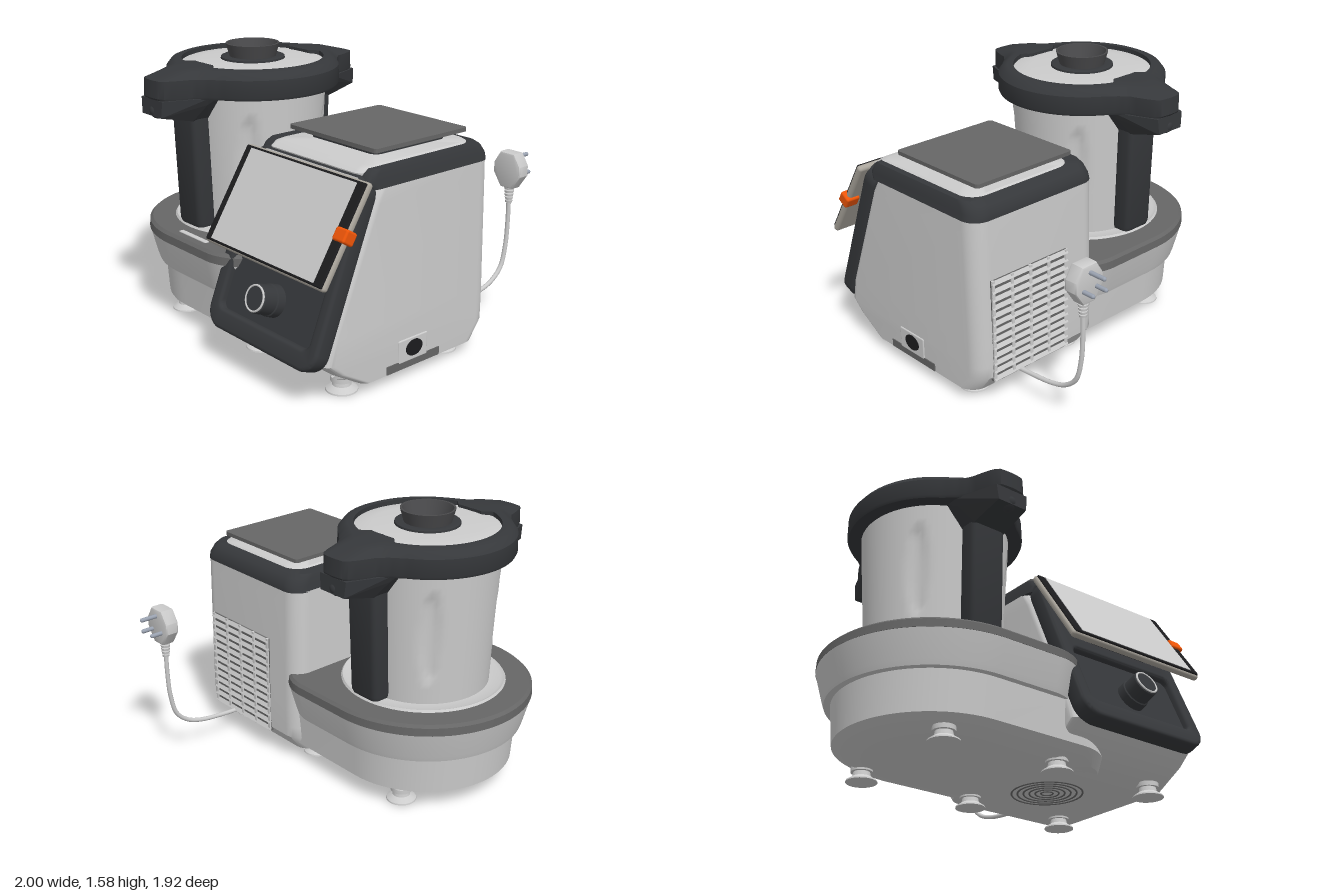
import * as THREE from 'three';
import { toCreasedNormals } from 'three/addons/utils/BufferGeometryUtils.js';
import { RoundedBoxGeometry } from 'three/addons/geometries/RoundedBoxGeometry.js';
import { ConvexGeometry } from 'three/addons/geometries/ConvexGeometry.js';

const mat = (color, side = THREE.FrontSide) => new THREE.MeshStandardMaterial({ color, side });
const GREY = mat(0xcccccc), GREY2 = mat(0xcccccc, THREE.DoubleSide);
const DARK = mat(0x36383b), DARK2 = mat(0x36383b, THREE.DoubleSide);
const MID = mat(0x666666), BLACK = mat(0x1c1c1e), BEZEL = mat(0xaaa59c), ORANGE = mat(0xee5508);
const CX = -0.38, CZ = 0.225; // bowl axis

function add(parent, name, geo, material, x = 0, y = 0, z = 0) {
  const m = new THREE.Mesh(geo, material);
  m.name = name;
  m.position.set(x, y, z);
  parent.add(m);
  return m;
}

// Rounded rectangle at height y; radii: back right, back left, front left, front right
function rect(y, x0, x1, z0, z1, radii, n = 10) {
  const [a, b, c, d] = radii, pts = [];
  const corners = [[x1 - a, z0 + a, a], [x0 + b, z0 + b, b], [x0 + c, z1 - c, c], [x1 - d, z1 - d, d]];
  corners.forEach(([cx, cz, r], k) => {
    for (let i = 0; i <= n; i++) {
      const t = (k + i / n) * Math.PI / 2;
      pts.push([cx + r * Math.cos(t), y, cz - r * Math.sin(t)]);
    }
  });
  return pts;
}

// Skin over stacked rings, closed at both ends
function loft(rings, crease = 0.6) {
  const pos = [], n = rings[0].length;
  const mid = r => [0, 1, 2].map(k => r.reduce((s, p) => s + p[k], 0) / n);
  const first = rings[0], last = rings[rings.length - 1], c0 = mid(first), c1 = mid(last);
  for (let j = 0; j < n; j++) {
    const k = (j + 1) % n;
    pos.push(...c0, ...first[k], ...first[j], ...c1, ...last[j], ...last[k]);
    for (let i = 0; i + 1 < rings.length; i++) {
      const a = rings[i], b = rings[i + 1];
      pos.push(...a[j], ...a[k], ...b[k], ...a[j], ...b[k], ...b[j]);
    }
  }
  const g = new THREE.BufferGeometry();
  g.setAttribute('position', new THREE.Float32BufferAttribute(pos, 3));
  return toCreasedNormals(g, crease);
}

const lathe = (pts, seg = 64) =>
  toCreasedNormals(new THREE.LatheGeometry(pts.map(p => new THREE.Vector2(...p)), seg), 0.6);

function roundedShape(x0, x1, y0, y1, r) {
  const s = new THREE.Shape();
  [[x1 - r, y1 - r], [x0 + r, y1 - r], [x0 + r, y0 + r], [x1 - r, y0 + r]].forEach(([x, y], k) =>
    s.absarc(x, y, r, k * Math.PI / 2, (k + 1) * Math.PI / 2, false));
  return s;
}

// Base under the bowl, with feet and floor vent
function buildBase(g) {
  const tier = (y, r, xe, rc) => rect(y, CX - r, xe, CZ - r, CZ + r, [rc, r, r, rc], 20);
  add(g, 'lowerBase', loft([tier(0.065, 0.42, 0.5, 0.2), tier(0.12, 0.52, 0.5, 0.3), tier(0.35, 0.535, 0.4, 0.3)]), GREY);
  add(g, 'upperBase', loft([tier(0.34, 0.57, 0.22, 0.25), tier(0.37, 0.58, 0.22, 0.25), tier(0.52, 0.618, 0.25, 0.27)]), GREY);
  add(g, 'baseRim', loft([tier(0.52, 0.62, 0.25, 0.27), tier(0.565, 0.617, 0.25, 0.27), tier(0.58, 0.6, 0.24, 0.26)]), MID);
  add(g, 'bowlSeat', lathe([[0.36, 0.582], [0.44, 0.582], [0.46, 0.592], [0.47, 0.578]]), GREY2, CX, 0, CZ);
  add(g, 'indicatorStrip', new RoundedBoxGeometry(0.25, 0.012, 0.03, 2, 0.005), GREY, -0.23, 0.58, 0.77);
  const foot = lathe([[0, 0], [0.085, 0], [0.083, 0.008], [0.05, 0.03], [0.045, 0.055], [0.06, 0.055], [0.06, 0.08]], 28);
  for (const x of [-0.58, 0.14, 0.8]) for (const z of [0.6, -0.13]) add(g, 'foot', foot, GREY2, x, 0, z);
  for (let i = 1; i <= 6; i++) {
    const ring = add(g, 'floorVentRing', new THREE.TorusGeometry(i * 0.033, 0.006, 6, 40), MID, 0.44, 0.066, 0.18);
    ring.rotation.x = Math.PI / 2;
  }
}

// Housing beside the bowl
function buildBody(g) {
  const R = [0.1, 0.1, 0.05, 0.05];
  const sec = ([y, zf, zb]) => rect(y, 0.07, 0.94, zb, zf, R);
  add(g, 'housing', loft([[0.065, 0.58, -0.27], [0.165, 0.75, -0.345], [0.23, 0.82, -0.347],
    [0.36, 0.79, -0.347], [1.0, 0.53, -0.335], [1.08, 0.48, -0.333]].map(sec)), GREY);
  add(g, 'topCollar', loft([[1.075, 0.53, -0.338], [1.11, 0.55, -0.336], [1.15, 0.53, -0.31], [1.17, 0.5, -0.28]]
    .map(([y, zf, zb], i) => rect(y, 0.07 + i * 0.008, 0.942 - i * 0.008, zb, zf, R))), DARK);
  add(g, 'topInset', loft([rect(1.1, 0.17, 0.88, -0.25, 0.55, R), rect(1.15, 0.17, 0.88, -0.25, 0.56, R),
    rect(1.17, 0.17, 0.88, -0.25, 0.53, R), rect(1.178, 0.18, 0.87, -0.24, 0.49, R)]), GREY);
  add(g, 'scaleNeck', loft([1.17, 1.222].map(y => rect(y, 0.25, 0.76, -0.17, 0.345, [0.05, 0.05, 0.05, 0.05]))), DARK);
  add(g, 'scalePlate', loft([1.216, 1.238].map(y => rect(y, 0.17, 0.835, -0.245, 0.415, [0.02, 0.02, 0.02, 0.02]))), MID);

  // Sloping front: dark frame, recessed panel and knob
  const front = new THREE.Group();
  front.name = 'frontPanel';
  front.position.set(0, 0.27, 0.91);
  front.rotation.x = -0.378;
  g.add(front);
  const frame = roundedShape(0.07, 0.94, -0.05, 0.95, 0.11);
  frame.holes.push(roundedShape(0.15, 0.865, 0.06, 0.43, 0.04));
  const frameGeo = new THREE.ExtrudeGeometry(frame, { depth: 0.06, bevelThickness: 0.02, bevelSize: 0.02, bevelOffset: -0.02, bevelSegments: 3, curveSegments: 10 });
  add(front, 'frontFrame', toCreasedNormals(frameGeo, 0.6), DARK, 0, 0, -0.08);
  add(front, 'controlPanel', new THREE.BoxGeometry(0.74, 0.4, 0.05), DARK, 0.507, 0.245, -0.065);
  add(front, 'upperFrontPanel', new THREE.BoxGeometry(0.7, 0.42, 0.05), GREY, 0.525, 0.72, -0.02);
  const knob = new THREE.Group();
  knob.name = 'knob';
  knob.position.set(0.508, 0.205, -0.045);
  knob.rotation.x = Math.PI / 2;
  front.add(knob);
  add(knob, 'knobBody', lathe([[0.086, 0], [0.084, 0.05], [0.078, 0.055], [0.076, 0.13], [0.066, 0.14], [0, 0.14]], 40), DARK2);
  const trim = add(knob, 'knobTrim', new THREE.TorusGeometry(0.066, 0.006, 8, 40), GREY, 0, 0.138, 0);
  trim.rotation.x = Math.PI / 2;

  // Rear louvres
  add(g, 'ventBacking', new THREE.BoxGeometry(0.54, 0.6, 0.02), MID, 0.58, 0.44, -0.338);
  for (let i = 0; i < 13; i++) {
    const slat = add(g, 'ventSlat', new THREE.BoxGeometry(0.54, 0.026, 0.012), GREY, 0.58, 0.155 + i * 0.0475, -0.35);
    slat.rotation.x = 0.5;
  }
  for (let i = 0; i < 5; i++) add(g, 'ventBar', new THREE.BoxGeometry(0.018, 0.6, 0.014), GREY, 0.32 + i * 0.13, 0.44, -0.349);

  // Side socket
  add(g, 'socketTab', new RoundedBoxGeometry(0.02, 0.13, 0.21, 2, 0.008), GREY, 0.936, 0.165, 0.235);
  add(g, 'socketLedge', new THREE.BoxGeometry(0.03, 0.045, 0.38), MID, 0.93, 0.09, 0.23);
  const socket = add(g, 'socket', new THREE.CylinderGeometry(0.045, 0.045, 0.02, 28), BLACK, 0.94, 0.17, 0.23);
  socket.rotation.z = Math.PI / 2;
  socket.scale.z = 1.3;
}

// Tilted display with its clip
function buildDisplay(g) {
  const d = new THREE.Group();
  d.name = 'display';
  d.position.set(0.51, 0.907, 0.742);
  d.rotation.x = -0.563;
  g.add(d);
  add(d, 'displayBack', new RoundedBoxGeometry(0.94, 0.56, 0.04, 3, 0.018), BEZEL, 0, 0, -0.024);
  add(d, 'displayBezel', new RoundedBoxGeometry(0.92, 0.54, 0.02, 3, 0.008), BLACK, 0, 0, -0.006);
  add(d, 'screen', new THREE.BoxGeometry(0.815, 0.515, 0.01), GREY, -0.005, 0, 0.002);
  add(d, 'displayMount', new THREE.BoxGeometry(0.4, 0.3, 0.12), DARK, 0, 0.02, -0.09);
  add(d, 'clip', new RoundedBoxGeometry(0.085, 0.07, 0.075, 3, 0.012), ORANGE, 0.445, 0, -0.02);
}

// Steel bowl with four lens-shaped dents, lid and two handles
function buildBowl(g) {
  const bowl = new THREE.Group();
  bowl.name = 'bowl';
  bowl.position.set(CX, 0, CZ);
  g.add(bowl);
  const wall = new THREE.CylinderGeometry(0.412, 0.372, 0.8, 96, 24, true);
  const p = wall.attributes.position;
  for (let i = 0; i < p.count; i++) {
    const x = p.getX(i), z = p.getZ(i), h = p.getY(i) / 0.26;
    const across = (Math.abs(Math.atan2(Math.abs(x), Math.abs(z)) - 0.85)) / (0.16 * Math.sqrt(Math.max(0.001, 1 - h * h)));
    const dent = Math.abs(h) < 1 && across < 1 ? 1 - 0.05 * (1 - across * across) : 1;
    p.setX(i, x * dent);
    p.setZ(i, z * dent);
  }
  wall.computeVertexNormals();
  add(bowl, 'bowlWall', wall, GREY2, 0, 0.97, 0);

  // Lid ring: radius follows the angle away from the front-back axis
  const table = (deg, t) => {
    for (let i = 1; i < t.length; i++) if (deg <= t[i][0]) {
      const [a, ra] = t[i - 1], [b, rb] = t[i];
      return ra + (rb - ra) * (deg - a) / (b - a);
    }
    return t[t.length - 1][1];
  };
  const outer = d => table(d, [[0, 0.688], [6, 0.685], [8.5, 0.665], [11, 0.62], [16, 0.54], [22, 0.507], [31, 0.488], [90, 0.49]]);
  const inner = d => table(d, [[0, 0.335], [15, 0.345], [19, 0.4], [90, 0.4]]);
  const ring = (y, f) => Array.from({ length: 180 }, (_, i) => {
    const t = i * Math.PI / 90, s = Math.abs(Math.cos(t)), d = Math.acos(Math.min(1, Math.abs(Math.sin(t)))) * 180 / Math.PI;
    const r = f(d, s);
    return [r * Math.cos(t), y, -r * Math.sin(t)];
  });
  add(bowl, 'lidRing', loft([ring(1.345, d => outer(d) * 0.985), ring(1.36, outer), ring(1.455, d => outer(d) * 0.995),
    ring(1.49, d => 0.46 + 0.45 * (outer(d) - 0.49)), ring(1.5, d => 0.435 + 0.25 * (outer(d) - 0.49)),
    ring(1.5, inner), ring(1.465, inner)]), DARK);
  add(bowl, 'lidTop', lathe([[0.41, 1.47], [0.39, 1.478], [0.3, 1.488], [0.12, 1.49]]), GREY2);
  add(bowl, 'fillerRim', lathe([[0.182, 1.485], [0.18, 1.5], [0.168, 1.505], [0.13, 1.502]]), DARK2);
  add(bowl, 'fillerFunnel', lathe([[0, 1.495], [0.115, 1.495], [0.14, 1.575], [0.152, 1.575], [0.128, 1.49]]), MID).material = mat(0x4a4a4c, THREE.DoubleSide);

  const half = [[0.1, 1.35, 0.68], [0.09, 1.26, 0.685], [0.19, 1.35, 0.44], [0.17, 1.31, 0.44], [0.1, 1.215, 0.49], [0.1, 1.215, 0.39], [0.19, 1.35, 0.37]];
  const bracket = new ConvexGeometry(half.flatMap(([x, y, z]) => [new THREE.Vector3(x, y, z), new THREE.Vector3(-x, y, z)]));
  for (const turn of [0, Math.PI]) {
    const h = new THREE.Group();
    h.name = 'handle';
    h.rotation.y = turn;
    bowl.add(h);
    add(h, 'handleBracket', bracket, DARK);
    const grip = [[0.595, 0.095, 0.36, 0.465], [0.62, 0.1, 0.36, 0.475], [1.24, 0.106, 0.385, 0.495]];
    add(h, 'handleGrip', loft(grip.map(([y, w, z0, z1]) => rect(y, -w, w, z0, z1, [0.02, 0.02, 0.03, 0.03], 4))), DARK);
    add(h, 'handleButton', new THREE.SphereGeometry(0.045, 20, 12), DARK, 0, 1.285, 0.645);
  }
}

// Power cord and three-pin plug
function buildCord(g) {
  const path = [[0.14, -0.3], [0.145, -0.42], [0.165, -0.6], [0.2, -0.7], [0.27, -0.775], [0.4, -0.81], [0.55, -0.82], [0.68, -0.82]];
  const curve = new THREE.CatmullRomCurve3(path.map(([y, z]) => new THREE.Vector3(0.663, y, z)));
  add(g, 'cord', new THREE.TubeGeometry(curve, 60, 0.013, 10), GREY);
  for (let i = 0; i < 5; i++)
    add(g, 'strainRelief', new THREE.CylinderGeometry(0.022 + i * 0.002, 0.02 + i * 0.002, 0.013, 16), GREY, 0.663, 0.665 + i * 0.02, -0.82);
  const s = new THREE.Shape([[-0.04, 0.75], [0.04, 0.75], [0.095, 0.83], [0.095, 0.89], [0.05, 0.96], [-0.05, 0.96], [-0.095, 0.89], [-0.095, 0.83]]
    .map(q => new THREE.Vector2(...q)));
  const plug = new THREE.ExtrudeGeometry(s, { depth: 0.06, bevelThickness: 0.012, bevelSize: 0.012, bevelOffset: -0.012, bevelSegments: 2 });
  add(g, 'plug', toCreasedNormals(plug, 0.6), GREY, 0.663, 0, -0.855);
  for (const [x, y, len] of [[0, 0.92, 0.11], [-0.045, 0.83, 0.08], [0.045, 0.83, 0.08]]) {
    const pin = add(g, 'plugPin', new THREE.CapsuleGeometry(0.012, len - 0.012, 4, 12), mat(0x9aa2b0), 0.663 + x, y, -0.855 - len / 2);
    pin.rotation.x = Math.PI / 2;
  }
}

export function createModel() {
  const g = new THREE.Group();
  g.name = 'cookingMachine';
  [buildBase, buildBody, buildDisplay, buildBowl, buildCord].forEach(build => build(g));
  return g;
}
